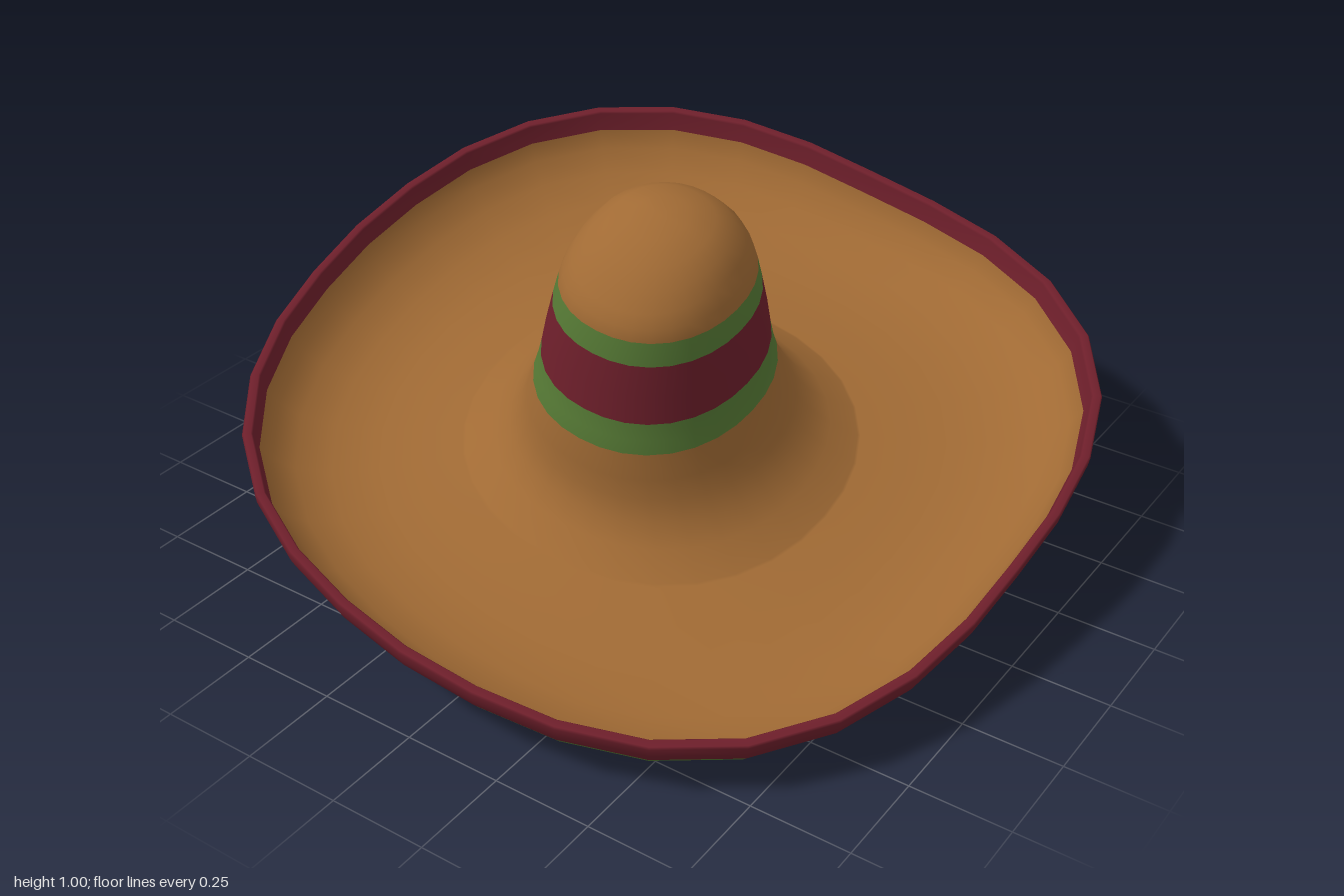
import * as THREE from 'three';
import { mergeVertices } from 'three/addons/utils/BufferGeometryUtils.js';

const BROWN = 0xa06a34, RED = 0x6e1f2b, GREEN = 0x567a35;
const SIDES = 32;

// Profile sections [radius, height above the rim plane]; each starts where the previous one ends.
const SECTIONS = [
  ['upperLining', RED, [[0, 0.572], [0.11, 0.55], [0.18, 0.48], [0.216, 0.39], [0.24, 0.27], [0.26, 0.14]]],
  ['lowerLining', BROWN, [[0.288, 0.045], [0.318, -0.025], [0.36, -0.09], [0.415, -0.14], [0.475, -0.183]]],
  ['brimUnderside', BROWN, [[0.482, -0.187], [0.55, -0.207], [0.64, -0.228], [0.74, -0.235], [0.84, -0.207], [0.92, -0.153], [0.965, -0.1]]],
  ['rimGreenTrim', GREEN, [[0.988, -0.06]]],
  ['rimRedBinding', RED, [[0.998, -0.03], [1.0, -0.005], [0.996, 0], [0.979, 0], [0.975, -0.005], [0.965, -0.055]]],
  ['brimTop', BROWN, [[0.94, -0.1], [0.89, -0.145], [0.81, -0.178], [0.7, -0.19], [0.59, -0.18], [0.492, -0.167], [0.485, -0.165]]],
  ['crownBase', BROWN, [[0.415, -0.122], [0.365, -0.075], [0.328, -0.02], [0.303, 0.035], [0.28, 0.108]]],
  ['lowerGreenBand', GREEN, [[0.27, 0.145], [0.261, 0.19]]],
  ['redBand', RED, [[0.249, 0.265], [0.233, 0.347]]],
  ['upperGreenBand', GREEN, [[0.22, 0.408]]],
  ['crownTop', BROWN, [[0.21, 0.445], [0.19, 0.49], [0.16, 0.53], [0.12, 0.56], [0.065, 0.58], [0, 0.586]]],
];

// Squared-off plan: rounder at the crown, squarer at the rim; the crown is longer and set forward in z.
function shapePlan(geometry) {
  const { smoothstep } = THREE.MathUtils;
  const pos = geometry.attributes.position;
  for (let i = 0; i < pos.count; i++) {
    let x = pos.getX(i), y = pos.getY(i), z = pos.getZ(i);
    const r = Math.hypot(x, z);
    const crown = r < 0.486 ? smoothstep(y, -0.165, 0.12) : 0;
    const brim = smoothstep(r, 0.45, 0.85);
    if (r > 1e-5) {
      const c = x / r, s = z / r, power = 2.15 + 0.4 * brim;
      // The left back corner reaches further out than the right front one
      const corner = brim * Math.max(0, -2 * c * s) * (0.025 * (c - s) - 0.012);
      const k = Math.pow(Math.abs(c) ** power + Math.abs(s) ** power, -1 / power) * (1 + corner);
      x *= k;
      z *= k * (1.015 + 0.11 * crown);
    }
    z += 0.033 * crown;
    // Lift the right back corner of the brim and slope the front of the crown top
    y += 0.03 * brim * smoothstep(-(x + z), 0.7, 1.5);
    y -= 0.16 * Math.max(0, z) * smoothstep(y, 0.41, 0.54);
    pos.setXYZ(i, x, y, z);
  }
}

export function createModel() {
  const model = new THREE.Group();
  const hat = new THREE.Group();
  hat.name = 'hat';

  // One smooth skin: down the lining, out under the brim, round the rim and up to the crown
  const points = SECTIONS.flatMap(([, , rows]) => rows).map(([r, h]) => new THREE.Vector2(r, h));
  const lathe = new THREE.LatheGeometry(points, SIDES);
  lathe.deleteAttribute('uv');
  lathe.deleteAttribute('normal');
  const skin = mergeVertices(lathe, 1e-4);
  shapePlan(skin);
  skin.computeVertexNormals();

  // Split the skin into coloured parts by profile row, sharing its normals
  const faces = skin.index.array;
  const rowCount = points.length - 1;
  let start = 0, end = -1;
  for (const [name, color, rows] of SECTIONS) {
    end += rows.length;
    const index = [];
    for (let s = 0; s < SIDES; s++) {
      const first = s * rowCount;
      index.push(...faces.slice((first + start) * 6, (first + end) * 6));
    }
    const part = new THREE.BufferGeometry();
    part.setAttribute('position', skin.attributes.position);
    part.setAttribute('normal', skin.attributes.normal);
    part.setIndex(index);
    const mesh = new THREE.Mesh(part, new THREE.MeshStandardMaterial({ color }));
    mesh.name = name;
    hat.add(mesh);
    start = end;
  }

  // Tilt the hat forward and to its left
  hat.quaternion.setFromUnitVectors(new THREE.Vector3(0, 1, 0), new THREE.Vector3(0.167, 1, 0.2).normalize());
  hat.position.set(0, 0.425, 0);
  model.add(hat);
  return model;
}
